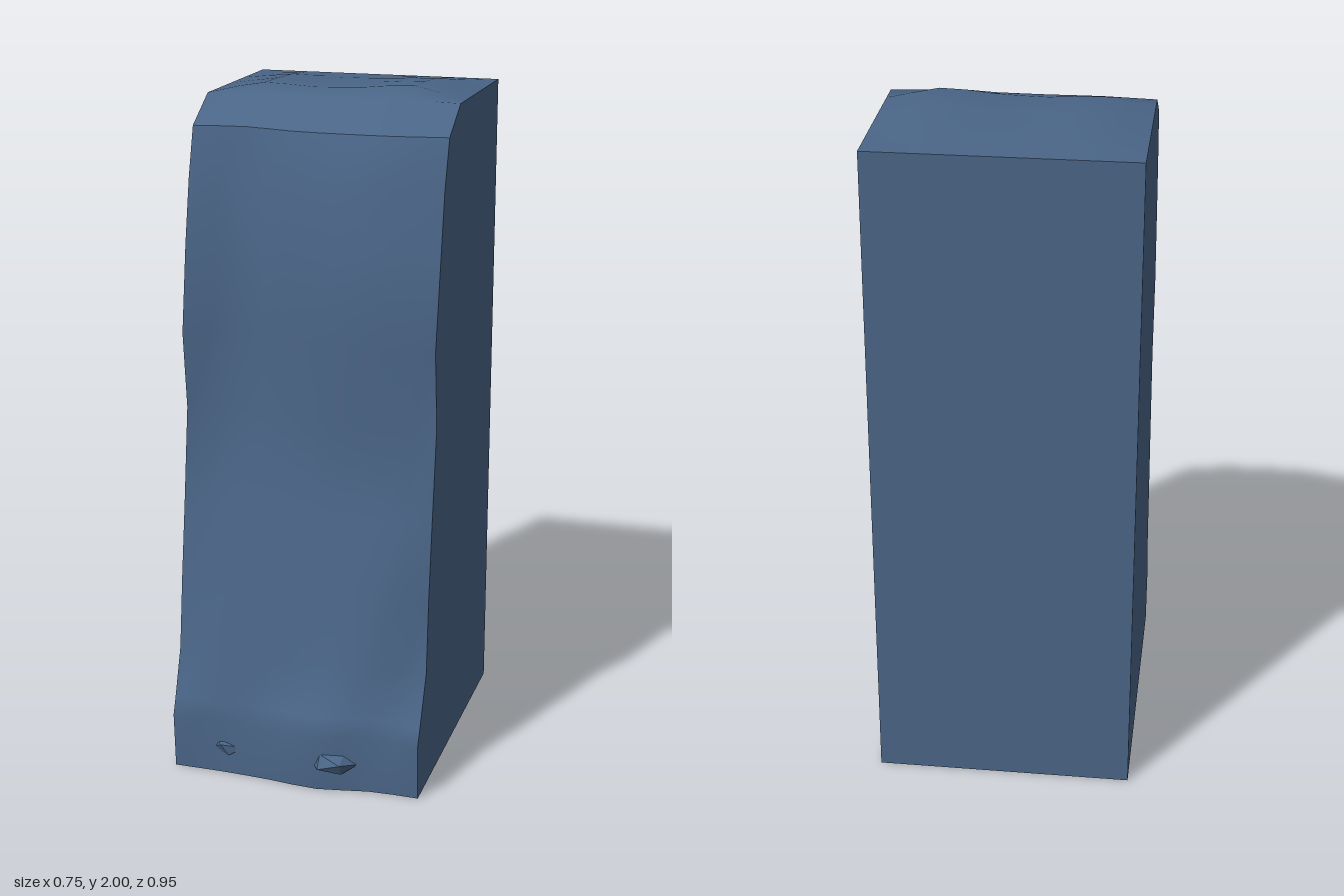
import * as THREE from 'three';

const HALF = 0.375, BACK = -0.475, COLS = 10;
const xAt = (j) => -HALF + (2 * HALF * j) / COLS;

// Cliff face depth at each height, sampled at six even steps from right to left
const FACE = [
  [0.00, [0.42, 0.422, 0.432, 0.447, 0.42, 0.42]],
  [0.17, [0.43, 0.42, 0.435, 0.455, 0.42, 0.43]],
  [0.22, [0.41, 0.41, 0.415, 0.425, 0.40, 0.405]],
  [0.36, [0.36, 0.385, 0.37, 0.36, 0.37, 0.338]],
  [0.58, [0.33, 0.34, 0.325, 0.335, 0.355, 0.322]],
  [0.80, [0.295, 0.285, 0.28, 0.295, 0.305, 0.295]],
  [1.08, [0.255, 0.225, 0.23, 0.255, 0.26, 0.256]],
  [1.31, [0.28, 0.225, 0.25, 0.295, 0.305, 0.285]],
  [1.56, [0.24, 0.195, 0.23, 0.26, 0.26, 0.24]],
  [1.75, [0.20, 0.168, 0.215, 0.24, 0.235, 0.205]],
  [1.89, [0.158, 0.138, 0.175, 0.183, 0.18, 0.158]],
];

// Top rows: depth, edge height, share of the hump height
const TOP = [
  [0.03, 1.965, 0.15], [-0.04, 1.965, 1], [-0.17, 1.965, 0.85],
  [-0.3, 1.965, 0.6], [-0.4, 1.965, 0.25], [BACK, 1.965, 0],
];
const HUMP = [0, 0.026, 0.019, 0.024, 0.034, 0];

// Smooth curve through evenly spaced values
function smooth(values) {
  const curve = new THREE.SplineCurve(values.map((v, i) => new THREE.Vector2(i, v)));
  return (t) => curve.getPoint(t).y;
}

// Smooth surface over rows of points
function gridGeometry(rows) {
  const n = rows[0].length, index = [];
  for (let i = 0; i < rows.length - 1; i++) {
    for (let j = 0; j < n - 1; j++) {
      const a = i * n + j, b = a + 1, d = a + n, c = d + 1;
      index.push(a, b, c, a, c, d);
    }
  }
  const g = new THREE.BufferGeometry().setFromPoints(rows.flat());
  g.setIndex(index);
  g.computeVertexNormals();
  return g;
}

// Faceted pebble with a flat underside
function rockGeometry(size, turn, floor) {
  const g = new THREE.IcosahedronGeometry(1, 0);
  g.rotateY(turn);
  g.rotateX(turn * 0.6);
  g.scale(...size);
  const p = g.attributes.position;
  for (let i = 0; i < p.count; i++) p.setY(i, Math.max(p.getY(i), floor));
  g.computeVertexNormals();
  return g;
}

export function createModel() {
  const group = new THREE.Group();
  const stone = new THREE.MeshStandardMaterial({ color: 0x4a6587, side: THREE.DoubleSide });
  stone.name = 'blueStone';
  const add = (name, geometry) => {
    const mesh = new THREE.Mesh(geometry, stone);
    mesh.name = name;
    group.add(mesh);
    return mesh;
  };

  // Weathered front
  const faceRows = FACE.map(([y, depths]) => {
    const z = smooth(depths);
    return Array.from({ length: COLS + 1 }, (_, j) => new THREE.Vector3(xAt(j), y, z(j / COLS)));
  });
  add('cliffFace', gridGeometry(faceRows));

  // Rounded top, starting at the lip of the front
  const hump = smooth(HUMP);
  const topRows = TOP.map(([z, y, k]) =>
    Array.from({ length: COLS + 1 }, (_, j) => new THREE.Vector3(xAt(j), y + k * hump(j / COLS), z)));
  add('cliffTop', gridGeometry([faceRows[faceRows.length - 1], ...topRows]));

  // Flat sides follow the outline of the front and top
  const rows = [...faceRows, ...topRows];
  for (const s of [1, -1]) {
    const edge = rows.map((row) => row[s > 0 ? COLS : 0]);
    const outline = edge.map((p) => new THREE.Vector2(-s * p.z, p.y));
    outline.push(new THREE.Vector2(-s * BACK, 0));
    const side = add(s > 0 ? 'leftSide' : 'rightSide', new THREE.ShapeGeometry(new THREE.Shape(outline)));
    side.rotation.y = (s * Math.PI) / 2;
    side.position.x = s * HALF;
  }

  // Flat back; the underside is open
  const back = add('back', new THREE.PlaneGeometry(2 * HALF, 1.965));
  back.rotation.y = Math.PI;
  back.position.set(0, 1.965 / 2, BACK);

  // Small rocks set into the foot of the cliff
  add('leftRock', rockGeometry([0.075, 0.04, 0.062], 0.5, -0.025)).position.set(0.12, 0.085, 0.418);
  add('rightRock', rockGeometry([0.07, 0.035, 0.058], 1.1, -0.02)).position.set(-0.21, 0.08, 0.382);

  return group;
}
